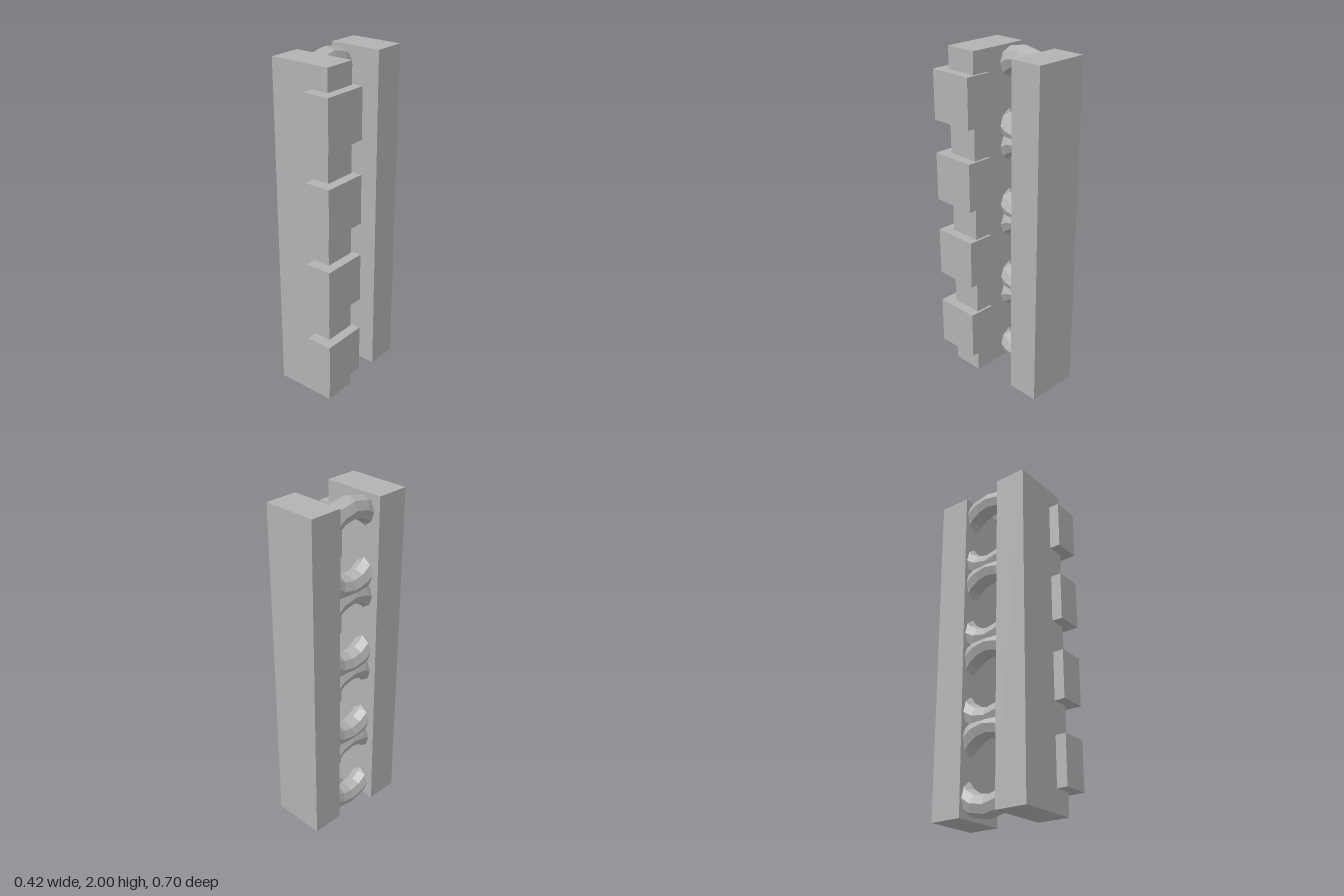
import * as THREE from 'three';

export function createModel() {
  const model = new THREE.Group();
  const grey = new THREE.MeshStandardMaterial({ color: 0xb2b2b2 });
  grey.name = 'grey';
  grey.flatShading = true;

  const add = (name, geometry, x, y, z) => {
    const mesh = new THREE.Mesh(geometry, grey);
    mesh.name = name;
    mesh.position.set(x, y, z);
    model.add(mesh);
    return mesh;
  };

  // Two upright bars
  add('frontBar', new THREE.BoxGeometry(0.366, 1.976, 0.192), -0.029, 1, 0.191);
  add('backBar', new THREE.BoxGeometry(0.318, 1.976, 0.191), -0.029, 1, -0.2565);

  // Overlapping rings joining the bars, and a block on the front bar beside each ring
  const ring = new THREE.TorusGeometry(0.217, 0.066, 8, 16).rotateY(Math.PI / 2);
  const block = new THREE.BoxGeometry(0.158, 0.285, 0.27);
  for (let i = 0; i < 4; i++) {
    const y = 0.283 + i * 0.478;
    add(`ring${i + 1}`, ring, -0.109, y, -0.025);
    add(`block${i + 1}`, block, 0.131, y + 0.003, 0.216);
  }
  return model;
}
